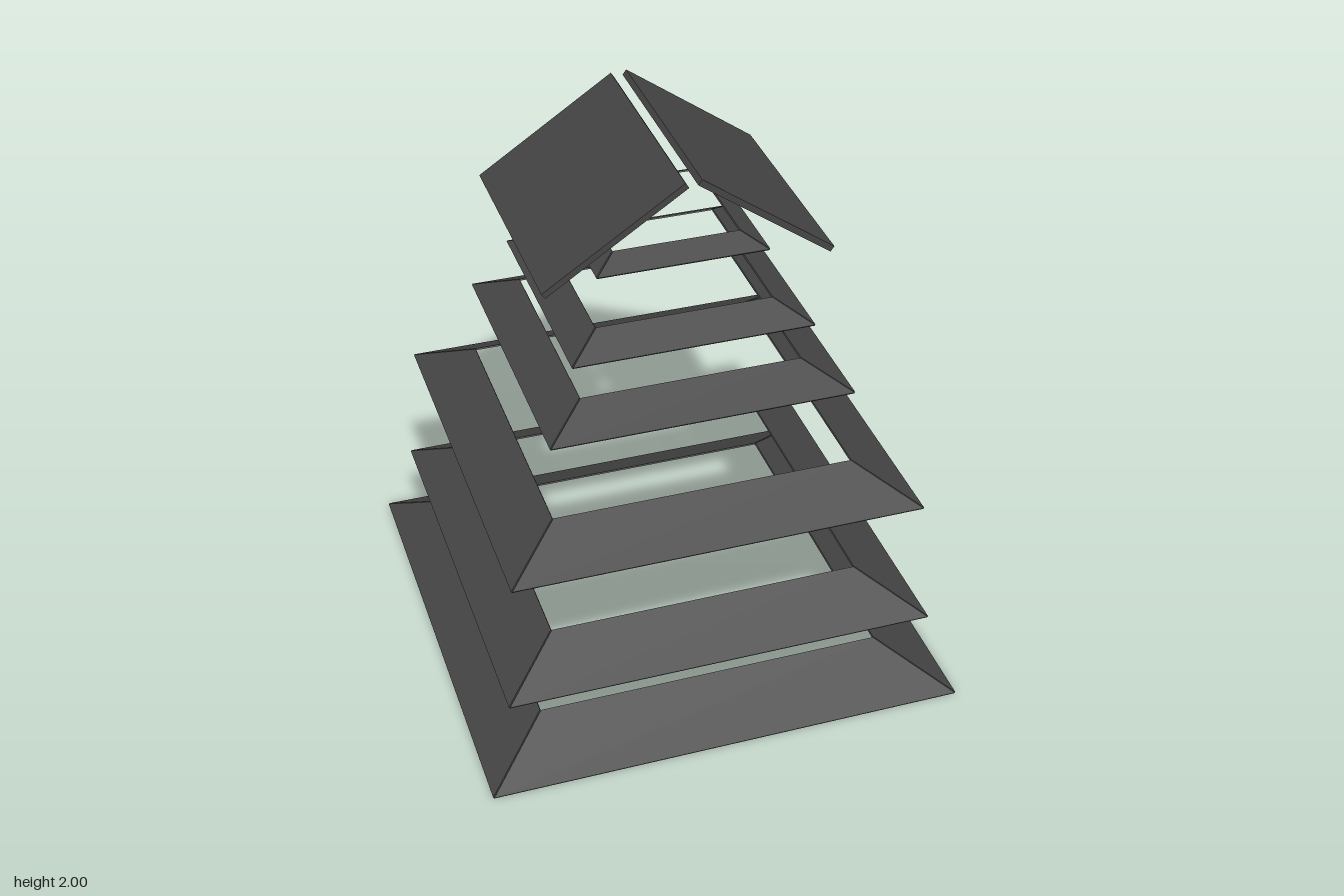
import * as THREE from 'three';

export function createModel() {
  const model = new THREE.Group();
  model.name = 'tieredRoof';
  const charcoal = new THREE.MeshStandardMaterial({ color: 0x444444 });
  charcoal.name = 'charcoal';

  const thickness = 0.006;
  const gap = 0.003; // open mitre at the corners

  // Sloping trapezoid board on the +z side of a square ring
  function slopedBoard(y0, y1, outer, inner) {
    const rise = y1 - y0, run = outer - inner;
    const slope = Math.hypot(rise, run);
    const shape = new THREE.Shape([
      new THREE.Vector2(-outer + gap, 0),
      new THREE.Vector2(outer - gap, 0),
      new THREE.Vector2(inner - gap, slope),
      new THREE.Vector2(-inner + gap, slope),
    ]);
    return new THREE.ExtrudeGeometry(shape, { depth: thickness, bevelEnabled: false })
      .translate(0, 0, -thickness)
      .rotateX(-Math.atan2(run, rise))
      .translate(0, y0, outer);
  }

  // Skirt tiers: bottom, top, outer half width, inner half width
  const tiers = [
    [0.006, 0.137, 0.85, 0.62],
    [0.312, 0.43, 0.76, 0.555],
    [0.777, 0.887, 0.725, 0.53],
    [1.168, 1.246, 0.53, 0.387],
    [1.392, 1.456, 0.42, 0.308],
    [1.637, 1.68, 0.298, 0.22],
  ];
  const sides = ['front', 'left', 'back', 'right'];
  tiers.forEach((tier, i) => {
    const ring = new THREE.Group();
    ring.name = `skirtTier${i + 1}`;
    const geometry = slopedBoard(...tier);
    sides.forEach((side, k) => {
      const board = new THREE.Mesh(geometry, charcoal);
      board.name = `${side}Board`;
      board.rotation.y = k * Math.PI / 2;
      ring.add(board);
    });
    model.add(ring);
  });

  // Gable roof: two slabs with an open ridge
  function roofSlab(name, length, x, y, angle) {
    const slab = new THREE.Mesh(new THREE.BoxGeometry(length, 0.022, 0.805), charcoal);
    slab.name = name;
    slab.position.set(x, y, 0);
    slab.rotation.z = angle;
    model.add(slab);
  }
  roofSlab('rightRoofSlab', 0.571, -0.265, 1.828, 0.588);
  roofSlab('leftRoofSlab', 0.562, 0.244, 1.828, -0.617);

  return model;
}
